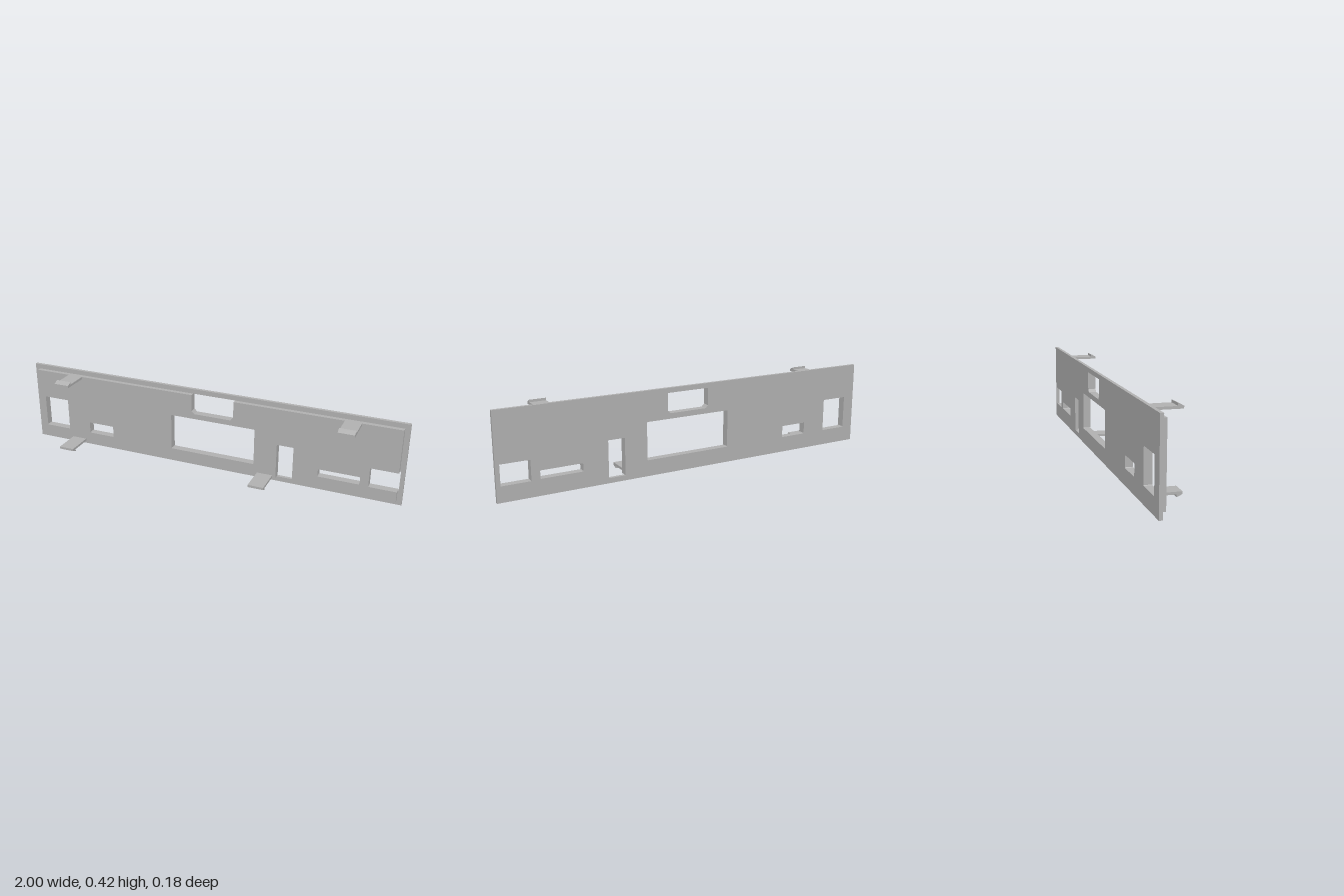
import * as THREE from 'three';

const H = 0.422; // plate height
const BACK = -0.088, STEP = -0.072, FRONT = -0.05; // z of the layer faces
const RIM = { x: 0.975, y0: 0.025, y1: 0.398 }; // raised inner panel

// Closed outline with an optional small corner cut
function outline(Type, x0, x1, y0, y1, c = 0) {
  const points = c
    ? [[x0 + c, y0], [x1 - c, y0], [x1, y0 + c], [x1, y1 - c], [x1 - c, y1], [x0 + c, y1], [x0, y1 - c], [x0, y0 + c]]
    : [[x0, y0], [x1, y0], [x1, y1], [x0, y1]];
  return new Type(points.map(([x, y]) => new THREE.Vector2(x, y)));
}

function slab(shape, z0, z1) {
  return new THREE.ExtrudeGeometry(shape, { depth: z1 - z0, bevelEnabled: false }).translate(0, 0, z0);
}

export function createModel() {
  const group = new THREE.Group();
  const grey = new THREE.MeshStandardMaterial({ color: 0xb0b0b0 });
  grey.name = 'grey plastic';
  const add = (name, geometry) => {
    const mesh = new THREE.Mesh(geometry, grey);
    mesh.name = name;
    group.add(mesh);
  };

  // Openings cut through both layers: x0, x1, y0, y1, corner
  const windows = [
    [-0.94, -0.80, 0.08, 0.248, 0.003],
    [-0.672, -0.53, 0.08, 0.14, 0.003],
    [-0.187, 0.263, 0.08, 0.27, 0.003],
    [0.592, 0.798, 0.08, 0.12, 0.003],
  ];
  // Openings that reach the edge of the inner panel
  const top = { x0: -0.073, x1: 0.15, y: 0.297, c: 0.014 };
  const slot = { x0: 0.38, x1: 0.465, y: 0.21 };
  const side = { x: 0.84, y0: 0.077, y1: 0.177 };

  // Back plate
  const plate = outline(THREE.Shape, -1, 1, 0, H);
  for (const w of windows) plate.holes.push(outline(THREE.Path, ...w));
  plate.holes.push(
    new THREE.Path([[top.x0 + top.c, top.y], [top.x1 - top.c, top.y], [top.x1, top.y + top.c],
      [top.x1, RIM.y1], [top.x0, RIM.y1], [top.x0, top.y + top.c]].map((p) => new THREE.Vector2(...p))),
    outline(THREE.Path, slot.x0, slot.x1, RIM.y0, slot.y),
    outline(THREE.Path, side.x, 0.98, side.y0, side.y1),
  );
  add('backPlate', slab(plate, BACK, STEP));

  // Inner panel, notched where openings meet its edge
  const panel = new THREE.Shape([
    [-RIM.x, RIM.y0],
    [slot.x0, RIM.y0], [slot.x0, slot.y], [slot.x1, slot.y], [slot.x1, RIM.y0],
    [RIM.x, RIM.y0],
    [RIM.x, side.y0], [side.x, side.y0], [side.x, side.y1], [RIM.x, side.y1],
    [RIM.x, RIM.y1],
    [top.x1, RIM.y1], [top.x1, top.y + top.c], [top.x1 - top.c, top.y],
    [top.x0 + top.c, top.y], [top.x0, top.y + top.c], [top.x0, RIM.y1],
    [-RIM.x, RIM.y1],
  ].map((p) => new THREE.Vector2(...p)));
  for (const w of windows) panel.holes.push(outline(THREE.Path, ...w));
  add('innerPanel', slab(panel, STEP, FRONT));

  // Snap clips: (z, y) profile with a hooked tip, mirrored for the lower edge
  const profile = [[FRONT, 0.386], [0.088, 0.386], [0.088, 0.398], [0.062, 0.41], [0.062, 0.398], [FRONT, 0.398]];
  const clip = (name, x, lower) => {
    const shape = new THREE.Shape(profile.map(([z, y]) => new THREE.Vector2(z, lower ? 0.423 - y : y)));
    const geometry = new THREE.ExtrudeGeometry(shape, { depth: 0.08, bevelEnabled: false });
    add(name, geometry.rotateY(-Math.PI / 2).translate(x + 0.04, 0, 0));
  };
  clip('upperRightClip', -0.742, false);
  clip('upperLeftClip', 0.742, false);
  clip('lowerRightClip', -0.742, true);
  clip('lowerLeftClip', 0.323, true);

  return group;
}
